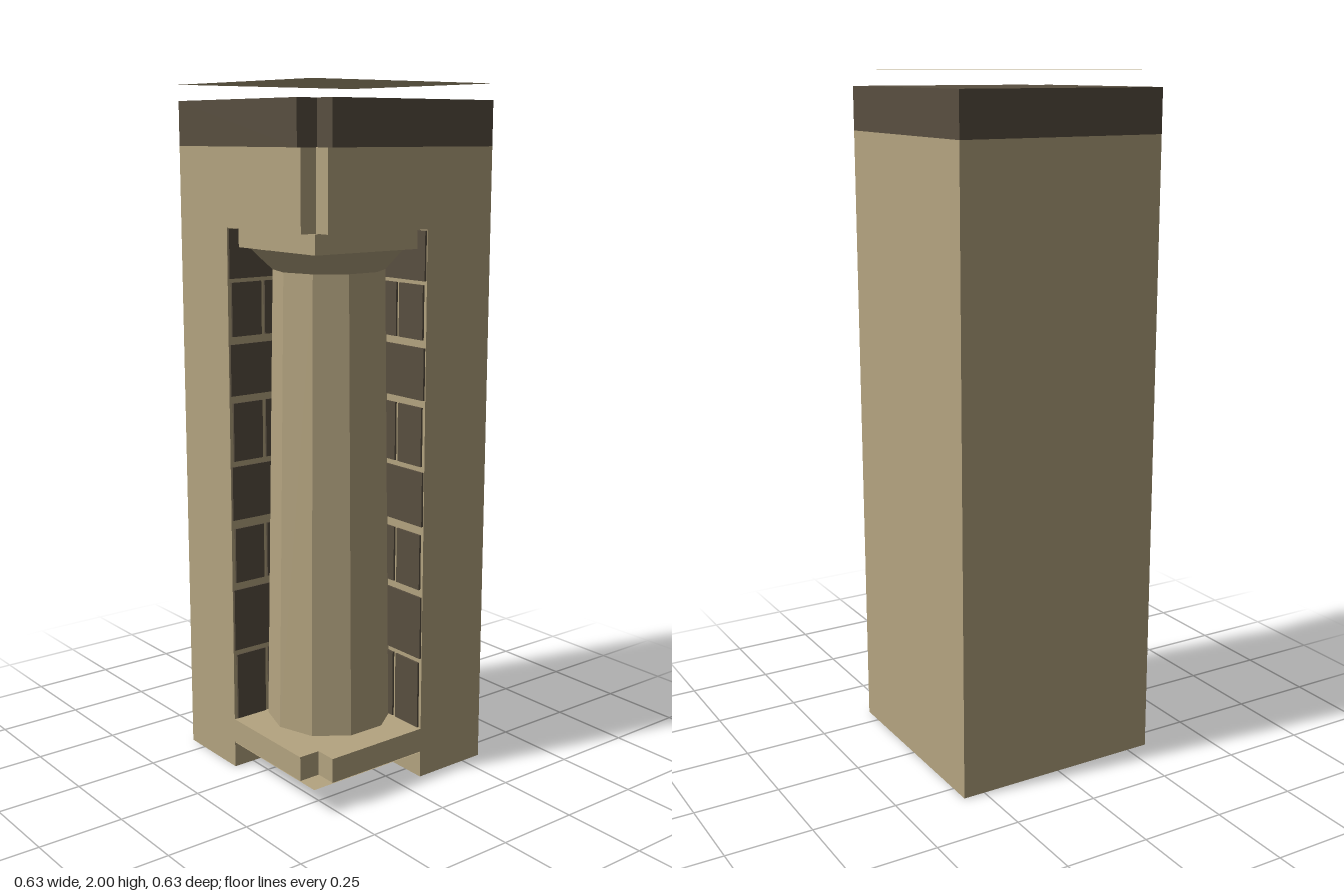
import * as THREE from 'three';

export function createModel() {
  const model = new THREE.Group();
  const stone = new THREE.MeshStandardMaterial({ color: 0xb4a480 });
  stone.name = 'sandstone';
  const sheetStone = new THREE.MeshStandardMaterial({ color: 0xb4a480, side: THREE.DoubleSide });
  sheetStone.name = 'sandstone sheet';
  const dark = new THREE.MeshStandardMaterial({ color: 0x594f40 });
  dark.name = 'dark stone';

  const H = 0.315;      // half width of the pier
  const W = -0.078;     // niche wall position in x and z

  const add = (name, geometry, material, parent = model) => {
    const mesh = new THREE.Mesh(geometry, material);
    mesh.name = name;
    parent.add(mesh);
    return mesh;
  };

  // Square block from lo to H with its +x +z corner cut back to cut
  const notchedBlock = (name, lo, cut, y0, y1, material) => {
    const points = [[lo, -lo], [lo, -H], [cut, -H], [cut, -cut], [H, -cut], [H, -lo]];
    const shape = new THREE.Shape(points.map(([x, y]) => new THREE.Vector2(x, y)));
    const geometry = new THREE.ExtrudeGeometry(shape, { depth: y1 - y0, bevelEnabled: false });
    geometry.rotateX(-Math.PI / 2).translate(0, y0, 0);
    return add(name, geometry, material);
  };

  // Main pier, upper block and dark cornice band
  notchedBlock('pierWalls', -H, W, 0, 1.61, stone);
  notchedBlock('upperBlock', -H, 0.265, 1.61, 1.83, stone);
  notchedBlock('corniceBand', -H, 0.25, 1.83, 1.955, dark);

  // Thin slabs: roof and niche floor
  const slab = (name, lo, y) => {
    const geometry = new THREE.PlaneGeometry(H - lo, H - lo).rotateX(-Math.PI / 2);
    geometry.translate((H + lo) / 2, y, (H + lo) / 2);
    add(name, geometry, sheetStone);
  };
  slab('roofSlab', -H, 2);
  slab('nicheFloor', W, 0.078);

  // Column plinth with a cut corner
  notchedBlock('plinth', W, 0.25, 0.08, 0.152, stone);

  // Tapered ten-sided column and flared capital
  const drum = (name, rTop, rBottom, y0, y1) => {
    const geometry = new THREE.CylinderGeometry(rTop, rBottom, y1 - y0, 10).toNonIndexed();
    geometry.computeVertexNormals();
    geometry.translate(0.049, (y0 + y1) / 2, 0.055);
    add(name, geometry, stone);
  };
  drum('columnShaft', 0.16, 0.185, 0.152, 1.49);
  drum('capitalFlare', 0.23, 0.16, 1.49, 1.555);

  // Square abacus above the capital
  const side = 0.28 - W;
  add('abacus', new THREE.BoxGeometry(side, 0.055, side)
    .translate(W + side / 2, 1.5825, W + side / 2), stone);

  // Brick courses on both niche walls, as thin plates
  const rows = [[0.154, 0.355], [0.37, 0.556], [0.578, 0.742], [0.768, 0.927],
    [0.943, 1.113], [1.134, 1.282], [1.304, 1.457], [1.468, 1.606]];
  const t = 0.006;
  for (const wall of ['back', 'side']) {
    const group = new THREE.Group();
    group.name = wall + 'WallBricks';
    model.add(group);
    rows.forEach(([y0, y1], i) => {
      const seam = i % 2 ? 0.12 : 0.205;
      const end = i % 2 ? 0.312 : 0.305;
      for (const [a, b] of [[W + 0.01, seam - 0.012], [seam, end]]) {
        const geometry = wall === 'back'
          ? new THREE.BoxGeometry(b - a, y1 - y0, t).translate((a + b) / 2, (y0 + y1) / 2, W + t / 2)
          : new THREE.BoxGeometry(t, y1 - y0, b - a).translate(W + t / 2, (y0 + y1) / 2, (a + b) / 2);
        add('brick', geometry, dark, group);
      }
    });
  }
  return model;
}
